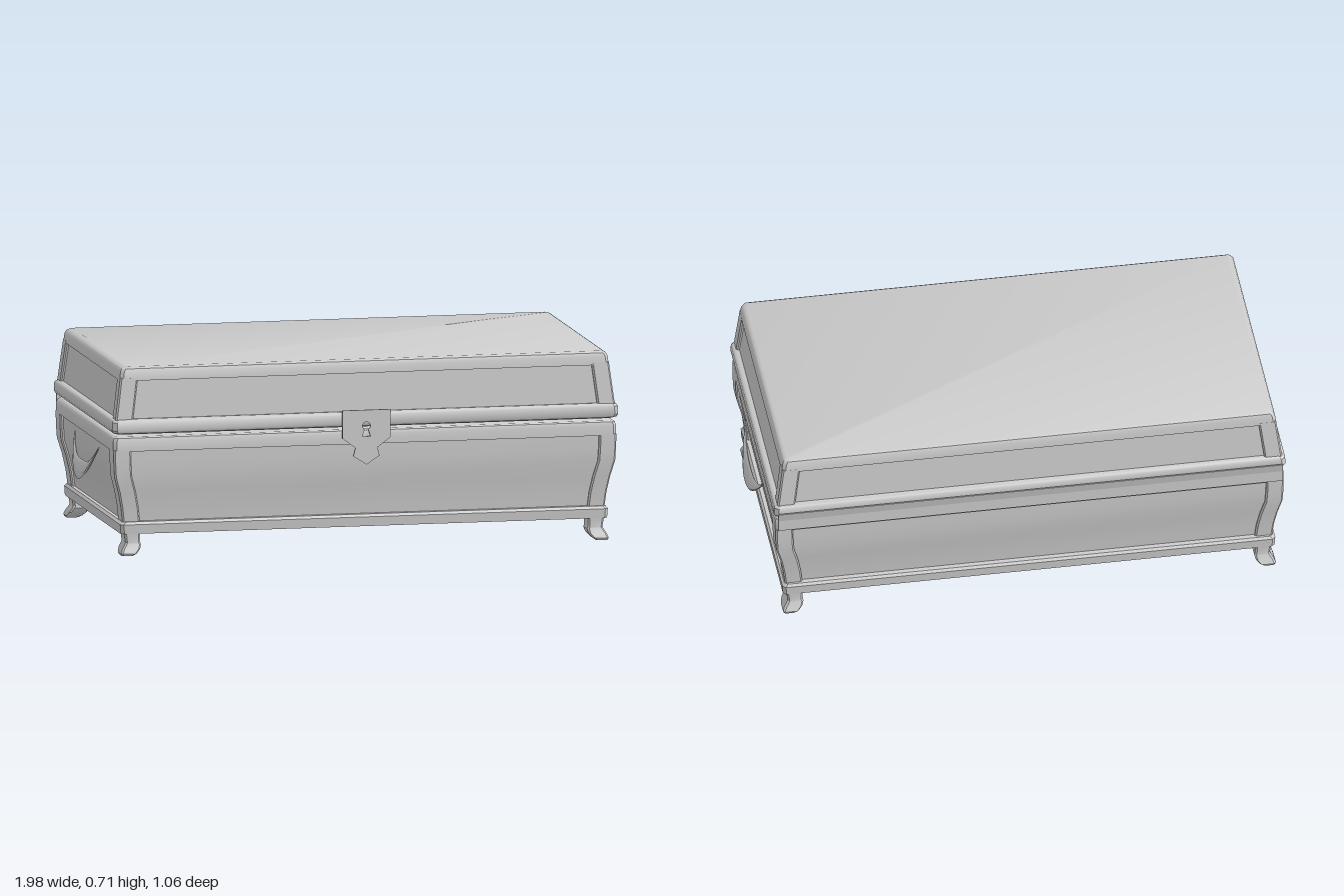
import * as THREE from 'three';
import { toCreasedNormals } from 'three/addons/utils/BufferGeometryUtils.js';

const material = new THREE.MeshStandardMaterial({ color: 0xcccccc, side: THREE.DoubleSide });

function addMesh(parent, name, geometry) {
  const mesh = new THREE.Mesh(geometry, material);
  mesh.name = name;
  parent.add(mesh);
  return mesh;
}

// Skin a list of equal rings (counter-clockwise seen from the far end) and cap both ends.
function loft(rings) {
  const n = rings[0].length, pos = [], idx = [];
  rings.forEach(r => r.forEach(p => pos.push(...p)));
  for (let i = 0; i < rings.length - 1; i++) {
    for (let j = 0; j < n; j++) {
      const a = i * n + j, b = i * n + (j + 1) % n;
      idx.push(a, b, b + n, a, b + n, a + n);
    }
  }
  const last = (rings.length - 1) * n;
  for (let j = 1; j < n - 1; j++) {
    idx.push(0, j + 1, j, last, last + j, last + j + 1);
  }
  const g = new THREE.BufferGeometry();
  g.setAttribute('position', new THREE.Float32BufferAttribute(pos, 3));
  g.setIndex(idx);
  return toCreasedNormals(g, 0.6);
}

// Horizontal rectangle with chamfered corners.
function rectRing(xa, xb, za, zb, y, c = 0.006) {
  const x0 = Math.min(xa, xb), x1 = Math.max(xa, xb);
  const z0 = Math.min(za, zb), z1 = Math.max(za, zb);
  return [
    [x0 + c, y, z1], [x1 - c, y, z1], [x1, y, z1 - c], [x1, y, z0 + c],
    [x1 - c, y, z0], [x0 + c, y, z0], [x0, y, z0 + c], [x0, y, z1 - c],
  ];
}

// Box-like part from rows of [y, half width, half depth].
const slab = (rows, inset = 0, c = 0.012) =>
  loft(rows.map(([y, x, z]) => rectRing(-x + inset, x - inset, -z + inset, z - inset, y, c)));

function eachCorner(fn) {
  for (const sx of [-1, 1]) for (const sz of [-1, 1]) fn(sx, sz);
}

// Corner posts that follow the same rows and frame the recessed panels.
function addPosts(parent, name, rows, wx, wz) {
  eachCorner((sx, sz) => addMesh(parent, name, loft(rows.map(([y, x, z]) =>
    rectRing(sx * (x - wx), sx * x, sz * (z - wz), sz * z, y)))));
}

function crescentHandle(side) {
  const rings = [], steps = 24, sides = 8;
  for (let i = 0; i <= steps; i++) {
    const s = -1 + 2 * i / steps, a = Math.abs(s);
    const low = 0.225 + 0.14 * s * s, high = 0.296 + 0.077 * a ** 3;
    const mid = (low + high) / 2, half = (high - low) / 2;
    const thick = 0.003 + 0.006 * (1 - s * s);
    const ring = [];
    for (let j = 0; j < sides; j++) {
      const t = side * j / sides * Math.PI * 2;
      const y = mid + half * Math.sin(t);
      const out = 0.95 + (0.37 - y) * 0.26 + thick * Math.cos(t);
      ring.push([side * out, y, 0.025 + 0.203 * s]);
    }
    rings.push(ring);
  }
  return loft(rings);
}

export function createModel() {
  const chest = new THREE.Group();
  chest.name = 'chest';
  const box = new THREE.Group();
  box.name = 'box';
  box.position.x = 0.008;
  const lid = new THREE.Group();
  lid.name = 'lid';
  lid.position.x = 0.008;
  chest.add(box, lid);

  // Box: base moulding, recessed panels, bowed posts, top rail
  addMesh(box, 'baseMoulding', slab([
    [0.083, 0.926, 0.492], [0.118, 0.928, 0.495], [0.128, 0.92, 0.488]]));
  const bodyRows = [
    [0.12, 0.917, 0.479], [0.18, 0.924, 0.484], [0.24, 0.936, 0.493],
    [0.3, 0.953, 0.503], [0.35, 0.956, 0.505], [0.4, 0.957, 0.506]];
  addMesh(box, 'bodyPanels', slab(bodyRows, 0.012));
  addPosts(box, 'bodyPost', bodyRows, 0.066, 0.083);
  addMesh(box, 'topRail', slab([
    [0.395, 0.957, 0.506], [0.432, 0.957, 0.506], [0.445, 0.952, 0.502], [0.45, 0.945, 0.495]]));

  // Feet with an outward flare
  eachCorner((sx, sz) => addMesh(box, 'foot', loft([
    [0.002, 0.88, 0.925, 0.45, 0.502],
    [0.01, 0.868, 0.928, 0.437, 0.505],
    [0.026, 0.854, 0.922, 0.418, 0.498],
    [0.043, 0.849, 0.911, 0.409, 0.49],
    [0.05, 0.852, 0.908, 0.411, 0.488],
    [0.09, 0.852, 0.914, 0.409, 0.491],
  ].map(([y, x0, x1, z0, z1]) => rectRing(sx * x0, sx * x1, sz * z0, sz * z1, y, 0.007)))));

  // Lid: rounded band, recessed panels, posts, top slab
  addMesh(lid, 'lidBand', slab([
    [0.46, 0.945, 0.503], [0.465, 0.957, 0.515], [0.475, 0.963, 0.52],
    [0.505, 0.962, 0.518], [0.513, 0.957, 0.513], [0.517, 0.948, 0.506]], 0, 0.016));
  const lidRows = [[0.51, 0.951, 0.508], [0.67, 0.93, 0.497]];
  addMesh(lid, 'lidPanels', slab(lidRows, 0.012));
  addPosts(lid, 'lidPost', lidRows, 0.067, 0.058);
  addMesh(lid, 'lidTop', slab([
    [0.66, 0.931, 0.4975], [0.692, 0.927, 0.495], [0.704, 0.921, 0.49], [0.711, 0.91, 0.478]]));

  // Lock plate with a keyhole
  const plate = new THREE.Shape([
    [-0.091, 0.525], [-0.091, 0.42], [-0.042, 0.383], [-0.05, 0.352], [0, 0.32],
    [0.05, 0.352], [0.042, 0.383], [0.091, 0.42], [0.091, 0.525],
  ].map(([x, y]) => new THREE.Vector2(x, y)));
  const keyhole = new THREE.Path();
  keyhole.moveTo(-0.016, 0.425);
  keyhole.lineTo(0.016, 0.425);
  keyhole.lineTo(0.007, 0.452);
  keyhole.absarc(0, 0.465, 0.015, -1.05, Math.PI + 1.05, false);
  keyhole.closePath();
  plate.holes.push(keyhole);
  const lock = addMesh(chest, 'lockPlate',
    new THREE.ExtrudeGeometry(plate, { depth: 0.007, bevelEnabled: false, curveSegments: 10 }));
  lock.position.set(0.008, 0, 0.519);

  // Long hinge strip along the back, bent outwards at its top
  const strip = new THREE.Shape([
    [0.515, 0.465], [0.527, 0.492], [0.53, 0.49], [0.522, 0.455], [0.522, 0.41], [0.518, 0.41], [0.517, 0.455],
  ].map(([x, y]) => new THREE.Vector2(x, y)));
  const hinge = addMesh(chest, 'hingeStrip',
    new THREE.ExtrudeGeometry(strip, { depth: 1.9, bevelEnabled: false }));
  hinge.rotation.y = Math.PI / 2;
  hinge.position.x = -0.942;

  // Crescent handles on both ends
  for (const side of [-1, 1]) {
    const handle = addMesh(chest, side > 0 ? 'leftHandle' : 'rightHandle', crescentHandle(side));
    handle.position.x = 0.005;
  }
  return chest;
}
